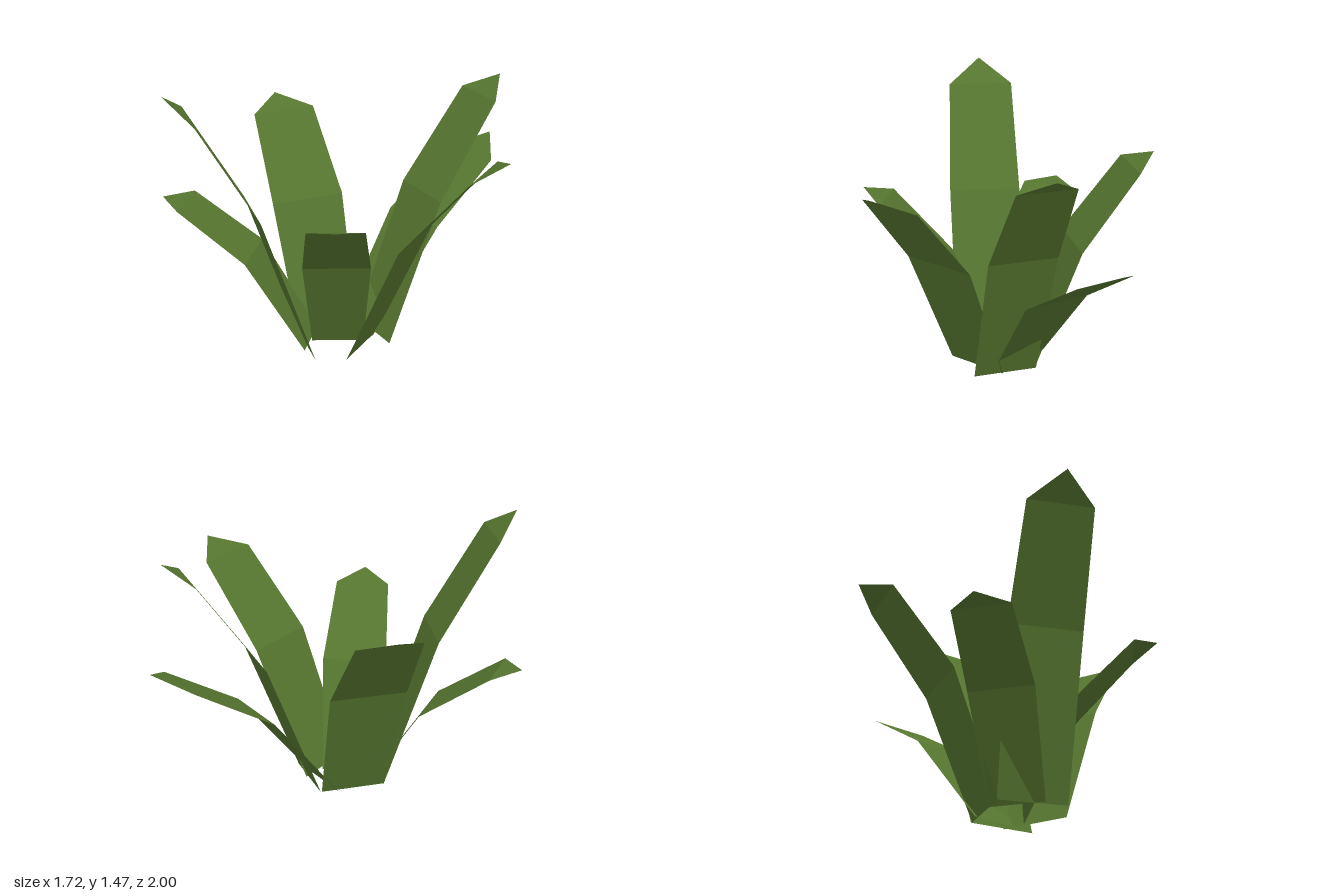
import * as THREE from 'three';

// Each leaf: base and tip positions on the ground plan, then
// reach (fraction of length), height and width of each cross-section.
const LEAVES = [
  { name: 'tallFrontLeaf', base: [-0.07, 0.35], tip: [-0.35, 1.0], reach: [0, 0.388, 0.82, 1], height: [0, 0.82, 1.35, 1.47], width: [0.36, 0.39, 0.35] },
  { name: 'tallBackLeaf', base: [0.03, -0.03], tip: [0.17, -0.8], reach: [0, 0.383, 0.83, 1], height: [0, 0.76, 1.25, 1.34], width: [0.35, 0.375, 0.315] },
  { name: 'lowBackLeaf', base: [-0.05, 0.02], tip: [-0.09, -1.0], reach: [0, 0.417, 0.843, 1], height: [0, 0.535, 0.805, 0.89], width: [0.26, 0.37, 0.33] },
  { name: 'leftLeaf', base: [0.12, 0.125], tip: [0.86, -0.195], reach: [0, 0.382, 0.825, 1], height: [0, 0.685, 1.105, 1.18], width: [0.36, 0.42, 0.365] },
  { name: 'rightLeaf', base: [-0.185, 0.115], tip: [-0.86, -0.065], reach: [0, 0.357, 0.814, 1], height: [0, 0.655, 1.065, 1.13], width: [0.35, 0.41, 0.35] },
  { name: 'frontLeftLeaf', base: [-0.005, 0.19], tip: [0.54, 0.64], reach: [0, 0.37, 0.82, 1], height: [0, 0.55, 0.89, 0.94], width: [0.275, 0.35, 0.29] },
  { name: 'frontRightLeaf', base: [-0.115, 0.285], tip: [-0.745, 0.775], reach: [0, 0.385, 0.84, 1], height: [0, 0.485, 0.745, 0.76], width: [0.285, 0.34, 0.3] },
];

// Flat bent blade: three cross-sections closed by a pointed tip.
function leafGeometry({ base, tip, reach, height, width }) {
  const from = new THREE.Vector3(base[0], 0, base[1]);
  const run = new THREE.Vector3(tip[0] - base[0], 0, tip[1] - base[1]);
  const side = new THREE.Vector3(run.z, 0, -run.x).normalize();
  const points = [];
  reach.forEach((r, i) => {
    const centre = from.clone().addScaledVector(run, r).setY(height[i]);
    if (i === 3) points.push(centre);
    else for (const s of [-0.5, 0.5]) points.push(centre.clone().addScaledVector(side, s * width[i]));
  });
  const geometry = new THREE.BufferGeometry().setFromPoints(points);
  geometry.setIndex([0, 2, 1, 1, 2, 3, 2, 4, 3, 3, 4, 5, 4, 6, 5]);
  const faceted = geometry.toNonIndexed();
  faceted.computeVertexNormals();
  return faceted;
}

export function createModel() {
  const group = new THREE.Group();
  group.name = 'leafyPlant';
  const leafGreen = new THREE.MeshStandardMaterial({ color: 0x55752f, side: THREE.DoubleSide });
  leafGreen.name = 'leafGreen';

  for (const leaf of LEAVES) {
    const mesh = new THREE.Mesh(leafGeometry(leaf), leafGreen);
    mesh.name = leaf.name;
    group.add(mesh);
  }
  return group;
}
